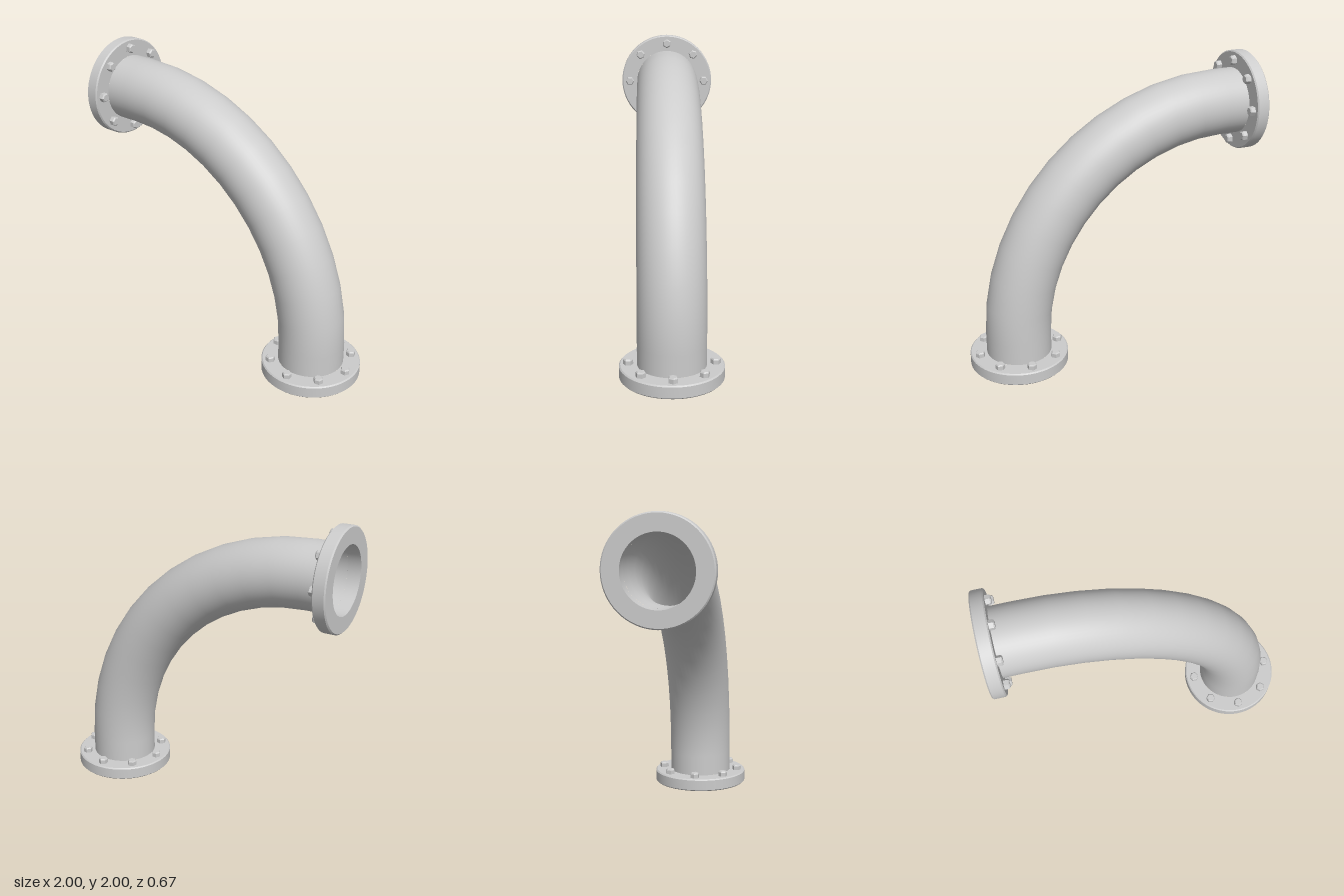
import * as THREE from 'three';
import { toCreasedNormals } from 'three/addons/utils/BufferGeometryUtils.js';

const PIPE_R = 0.22, FLANGE_R = 0.333, FLANGE_H = 0.087;
const END = 0.667;          // x of the lower end's axis
const STRAIGHT = 0.225;     // length of each straight end, flange included
const BEND_R = 1 + END - STRAIGHT;

const material = new THREE.MeshStandardMaterial({ color: 0xcccccc });
const pipeMaterial = new THREE.MeshStandardMaterial({ color: 0xcccccc, side: THREE.DoubleSide });

function mesh(name, geometry, mat = material) {
  const m = new THREE.Mesh(geometry, mat);
  m.name = name;
  return m;
}

// Lathe with sharp edges from [radius, height] pairs
function turned(profile, segments) {
  const points = profile.map(([r, y]) => new THREE.Vector2(r, y));
  return toCreasedNormals(new THREE.LatheGeometry(points, segments), 0.5);
}

// One pipe end: bolted flange ring and straight stub, rising along +y
function createEnd(name) {
  const end = new THREE.Group();
  end.name = name;

  const c = 0.008; // rim chamfer
  end.add(mesh('flange', turned([
    [PIPE_R, FLANGE_H], [PIPE_R, 0], [FLANGE_R - c, 0], [FLANGE_R, c],
    [FLANGE_R, FLANGE_H - c], [FLANGE_R - c, FLANGE_H], [PIPE_R, FLANGE_H],
  ], 64)));

  const length = STRAIGHT - FLANGE_H;
  const stub = mesh('straightPipe',
    new THREE.CylinderGeometry(PIPE_R, PIPE_R, length, 48, 1, true), pipeMaterial);
  stub.position.y = FLANGE_H + length / 2;
  end.add(stub);

  // Hexagonal bolt heads, each with a corner pointing outward
  const head = turned([[0.032, 0], [0.032, 0.028], [0.025, 0.036], [0, 0.036]], 6);
  for (let i = 0; i < 8; i++) {
    const a = i * Math.PI / 4;
    const bolt = mesh('bolt', head);
    bolt.position.set(0.275 * Math.sin(a), FLANGE_H, 0.275 * Math.cos(a));
    bolt.rotation.y = a;
    end.add(bolt);
  }
  return end;
}

export function createModel() {
  const model = new THREE.Group();
  model.name = 'pipeElbow';

  // Quarter bend in twelve steps
  const bend = mesh('bend',
    new THREE.TorusGeometry(BEND_R, PIPE_R, 48, 12, Math.PI / 2), pipeMaterial);
  bend.position.set(-1 + STRAIGHT, STRAIGHT, 0);
  model.add(bend);

  const lower = createEnd('lowerEnd');
  lower.position.x = END;
  const upper = createEnd('upperEnd');
  upper.position.set(-1, 1 + END, 0);
  upper.rotation.z = -Math.PI / 2;
  model.add(lower, upper);

  return model;
}
